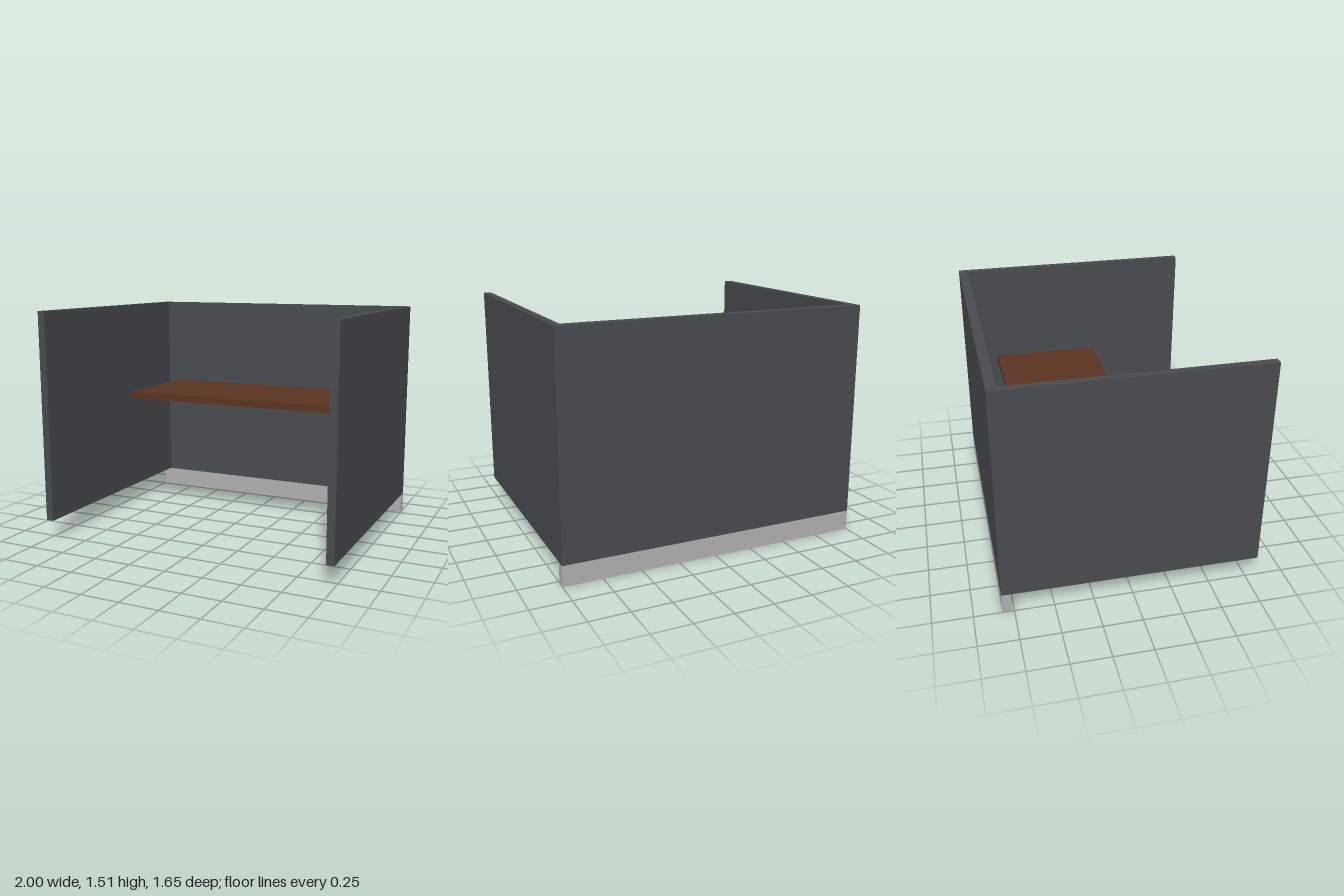
import * as THREE from 'three';

export function createModel() {
  const model = new THREE.Group();
  model.name = 'cubicleDesk';

  const material = (name, color) => {
    const m = new THREE.MeshStandardMaterial({ color });
    m.name = name;
    return m;
  };
  const panel = material('charcoalPanel', 0x484b4f);
  const wood = material('brownWood', 0x5a3420);
  const metal = material('lightGrey', 0xb0b0b0);

  // Box given by its minimum and maximum corners
  const box = (name, mat, [x0, y0, z0], [x1, y1, z1]) => {
    const mesh = new THREE.Mesh(new THREE.BoxGeometry(x1 - x0, y1 - y0, z1 - z0), mat);
    mesh.position.set((x0 + x1) / 2, (y0 + y1) / 2, (z0 + z1) / 2);
    mesh.name = name;
    model.add(mesh);
  };

  const base = 0.132, top = 1.515, back = -0.825, inner = -0.765;

  // Partition walls: full-width back with two sides butting against it
  box('backPanel', panel, [-1, base, back], [1, top, inner]);
  box('leftPanel', panel, [0.95, base, inner], [1, top, 0.825]);
  box('rightPanel', panel, [-1, base, inner], [-0.95, top, 0.825]);

  // Plinth under the back wall
  box('plinth', metal, [-1, 0, back], [1, base, inner]);

  // Floating work surface
  box('desktop', wood, [-0.757, 0.87, -0.602], [0.757, 0.915, 0.122]);

  return model;
}
